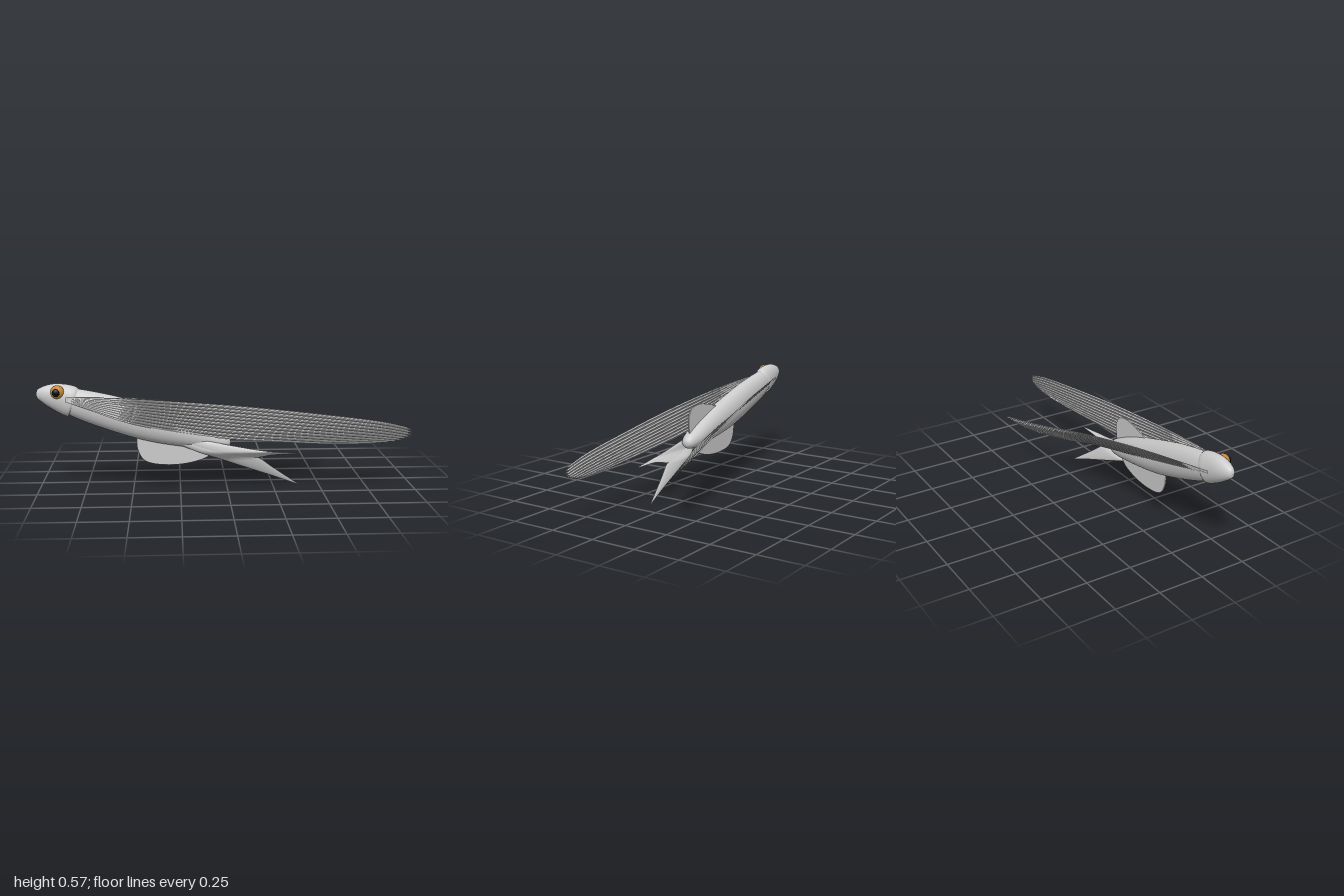
import * as THREE from 'three';

const mat = (color = 0xcccccc, extra = {}) => new THREE.MeshStandardMaterial({ color, ...extra });
const V = (p) => new THREE.Vector3(...p);
const curve = (pts) => new THREE.CatmullRomCurve3(pts.map(V), false, 'centripetal');
const MID_Z = 0.15;

function add(group, name, geometry, material = mat()) {
  const mesh = new THREE.Mesh(geometry, material);
  mesh.name = name;
  group.add(mesh);
  return mesh;
}

// Grid of points (rows x cols) turned into a surface
function gridSurface(rows, cols, point) {
  const pos = [], idx = [];
  for (let i = 0; i <= rows; i++)
    for (let j = 0; j <= cols; j++) {
      pos.push(...point(i / rows, j / cols, j));
      if (i < rows && j < cols) {
        const a = i * (cols + 1) + j, b = a + cols + 1;
        idx.push(a, b, a + 1, b, b + 1, a + 1);
      }
    }
  const g = new THREE.BufferGeometry();
  g.setAttribute('position', new THREE.Float32BufferAttribute(pos, 3));
  g.setIndex(idx);
  g.computeVertexNormals();
  return g;
}

// Elliptical loft along x; stations are [x, centre y, half height, half width], lean slants the sections
function loft(stations, lean) {
  const centre = curve(stations.map(([x, y]) => [x, y, 0]));
  const size = curve(stations.map(([x, , h, w]) => [x, h, w]));
  const n = stations.length - 1;
  return gridSurface(n * 6, 40, (u, v) => {
    const c = centre.getPoint(u), s = size.getPoint(u), a = v * Math.PI * 2;
    const dy = Math.cos(a) * Math.max(s.y, 0);
    return [s.x + dy * lean(u), c.y + dy, MID_Z + Math.sin(a) * Math.max(s.z, 0)];
  });
}

// Wing: a sheet between a leading and a trailing edge, with narrow grooves fanning from the root
function wing({ lead, trail, bulge, normal }) {
  const L = curve(lead), T = curve(trail), N = V(normal).normalize(), B = V(bulge);
  return gridSurface(30, 30, (u, v, j) => {
    const groove = j % 3 === 1;
    const t = u * (groove ? 0.988 : 1);
    const p = L.getPointAt(t).lerp(T.getPointAt(t), v);
    p.addScaledVector(B, 4 * v * (1 - v) * t ** 3);
    if (groove) p.addScaledVector(N, -0.005 * Math.min(1, u * 3));
    return p.toArray();
  });
}

// Thin flat fin with rounded rim, outlined by a smooth line
function fin(points, thickness) {
  const shape = new THREE.Shape();
  shape.moveTo(...points[0]);
  shape.splineThru(points.slice(1).map((p) => new THREE.Vector2(...p)));
  const g = new THREE.ExtrudeGeometry(shape, {
    depth: thickness / 2, bevelThickness: thickness / 4, bevelSize: 0.003,
    bevelOffset: -0.003, bevelSegments: 2, curveSegments: 32,
  });
  return g.translate(0, 0, MID_Z - thickness / 4);
}

// Tail lobe: lens-shaped sections between two edges, swept sideways by height
function tailLobe(outerY, innerY) {
  const xs = [-0.28, -0.1, 0.06, 0.17, 0.24, 0.39];
  const edge = (ys) => curve(ys.map((y, i) => [xs[i], y, 0]));
  const outer = edge(outerY), inner = edge(innerY);
  return gridSurface(40, 28, (u, v) => {
    const a = v * Math.PI * 2;
    const p = outer.getPoint(u).lerp(inner.getPoint(u), 0.5 - 0.5 * Math.cos(a));
    const dy = p.y - 0.168;
    const sweep = Math.min(0.037, dy > 0 ? dy : dy * 0.33);
    const blend = THREE.MathUtils.clamp((p.x + 0.3) / 0.2, 0, 1);
    const thick = 0.018 * (1 - u * 0.85);
    return [p.x, p.y, MID_Z + blend * (0.017 + sweep) + Math.sin(a) * thick];
  });
}

export function createModel() {
  const model = new THREE.Group();
  model.name = 'flyingFish';
  const thin = mat(0xcccccc, { side: THREE.DoubleSide });
  const folded = mat(0xcccccc, { side: THREE.DoubleSide, flatShading: true });

  // Body and head
  add(model, 'body', loft([
    [-0.86, 0.49, 0.06, 0.04], [-0.8, 0.471, 0.074, 0.05], [-0.6, 0.412, 0.092, 0.058],
    [-0.4, 0.353, 0.092, 0.061], [-0.2, 0.303, 0.076, 0.061], [-0.06, 0.264, 0.053, 0.052],
    [-0.005, 0.25, 0.036, 0.037], [0.014, 0.246, 0.02, 0.021], [0.02, 0.245, 0, 0],
  ], () => 0.15), thin);
  add(model, 'head', loft([
    [-1, 0.52, 0, 0], [-0.993, 0.52, 0.022, 0.016], [-0.965, 0.518, 0.042, 0.031],
    [-0.92, 0.51, 0.062, 0.043], [-0.86, 0.493, 0.076, 0.05], [-0.815, 0.477, 0.078, 0.053],
    [-0.805, 0.473, 0.072, 0.049],
  ], (u) => 0.38 * u), thin);

  // Eye
  const eye = add(model, 'eye', new THREE.SphereGeometry(0.036, 32, 20), mat(0xc8893a));
  eye.position.set(-0.885, 0.532, 0.184);
  eye.scale.z = 0.8;
  const pupil = add(model, 'pupil', new THREE.SphereGeometry(0.021, 24, 16), mat(0x080808));
  pupil.position.set(-0.89, 0.532, 0.206);
  pupil.scale.z = 0.6;

  // Pectoral wings
  add(model, 'leftWing', wing({
    lead: [[-0.84, 0.51, 0.213], [-0.6, 0.505, 0.213], [0, 0.462, 0.2], [0.5, 0.405, 0.184],
      [0.85, 0.355, 0.171], [0.98, 0.322, 0.165]],
    trail: [[-0.84, 0.485, 0.214], [-0.7, 0.435, 0.222], [-0.5, 0.365, 0.22], [-0.1, 0.29, 0.209],
      [0.3, 0.256, 0.199], [0.6, 0.24, 0.19], [0.75, 0.241, 0.183]],
    bulge: [0.09, -0.02, -0.003], normal: [0, 0.1, 1],
  }), folded);
  add(model, 'rightWing', wing({
    lead: [[-0.88, 0.5, 0.095], [-0.69, 0.487, 0.046], [-0.37, 0.452, -0.025], [-0.05, 0.404, -0.096],
      [0.275, 0.34, -0.167], [0.46, 0.31, -0.207], [0.6, 0.285, -0.224]],
    trail: [[-0.88, 0.485, 0.097], [-0.5, 0.375, 0.097], [-0.18, 0.3, 0.08], [0.085, 0.25, 0.037],
      [0.25, 0.219, -0.015], [0.4, 0.211, -0.08]],
    bulge: [0.04, -0.024, 0], normal: [-0.25, -0.7, -0.67],
  }), folded);

  // Fins on the back and belly
  add(model, 'dorsalFin', fin([[-0.33, 0.4], [-0.22, 0.432], [-0.12, 0.45], [-0.045, 0.435],
    [-0.012, 0.38], [-0.02, 0.3], [-0.05, 0.265], [-0.2, 0.33]], 0.008));
  add(model, 'bellyFin', fin([[-0.48, 0.3], [-0.475, 0.215], [-0.43, 0.15], [-0.32, 0.13],
    [-0.2, 0.14], [-0.1, 0.175], [-0.08, 0.23], [-0.25, 0.28]], 0.008));

  // Forked tail: two lobes that overlap ahead of the fork
  const tailFin = new THREE.Group();
  tailFin.name = 'tailFin';
  model.add(tailFin);
  add(tailFin, 'upperLobe', tailLobe(
    [0.31, 0.268, 0.235, 0.215, 0.206, 0.192], [0.26, 0.2, 0.16, 0.168, 0.184, 0.188]), thin);
  add(tailFin, 'lowerLobe', tailLobe(
    [0.25, 0.185, 0.125, 0.085, 0.06, 0.001], [0.29, 0.245, 0.205, 0.165, 0.113, 0.005]), thin);

  return model;
}
